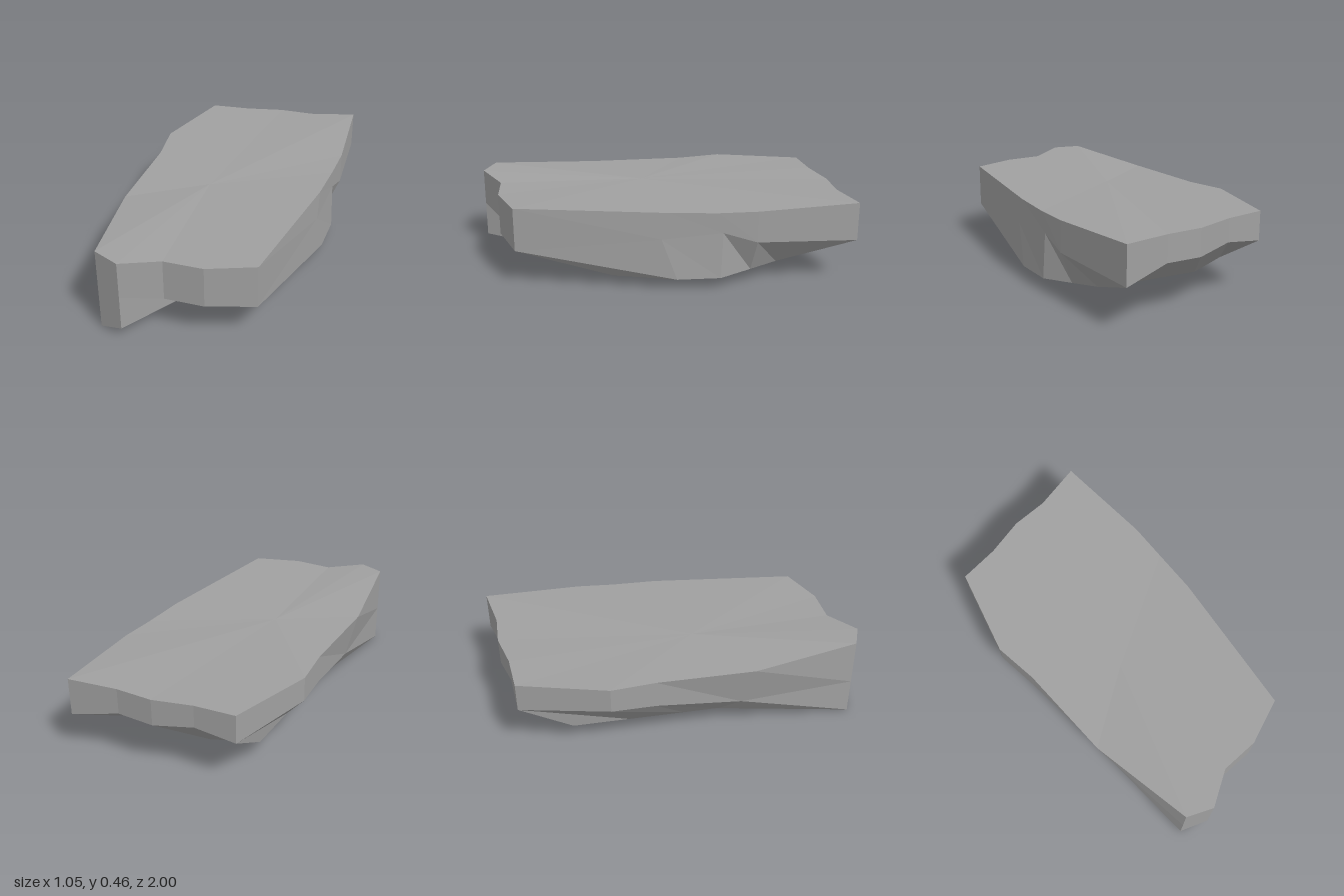
import * as THREE from 'three';

// Each ring runs round the slab from the front right corner, counterclockwise seen from above.
const topRing = [
  [-0.40, 0.455, 0.94], [-0.26, 0.45, 1.0], [-0.07, 0.432, 0.89], [0.14, 0.432, 0.89],
  [0.385, 0.435, 0.80], [0.50, 0.425, 0.0], [0.515, 0.42, -0.25], [0.525, 0.425, -0.46],
  [0.49, 0.442, -1.0], [0.23, 0.433, -0.95], [0.03, 0.432, -0.95], [-0.18, 0.435, -0.90],
  [-0.40, 0.435, -0.88], [-0.53, 0.432, -0.41], [-0.50, 0.425, -0.17], [-0.495, 0.42, 0.36],
];
const rimRing = [
  [-0.40, 0.20, 0.94], [-0.26, 0.25, 1.0], [-0.07, 0.21, 0.89], [0.14, 0.21, 0.89],
  [0.385, 0.20, 0.80], [0.50, 0.28, 0.04], [0.515, 0.31, -0.28], [0.525, 0.255, -0.46],
  [0.49, 0.235, -1.0], [0.23, 0.29, -0.95], [0.03, 0.285, -0.95], [-0.18, 0.31, -0.90],
  [-0.40, 0.278, -0.88], [-0.53, 0.297, -0.41], [-0.50, 0.275, -0.17], [-0.455, 0.20, 0.30],
];
const baseRing = [
  [-0.40, 0.0, 0.94], [-0.26, 0.06, 1.0], [-0.03, 0.042, 0.58], [0.105, 0.018, 0.53],
  [0.42, 0.055, 0.29], [0.52, 0.06, -0.04], [0.525, 0.062, -0.27], [0.45, 0.075, -0.44],
  [0.39, 0.09, -0.59], [0.21, 0.085, -0.62], [0.055, 0.10, -0.67], [-0.14, 0.10, -0.69],
  [-0.38, 0.11, -0.60], [-0.38, 0.11, -0.30], [-0.38, 0.11, 0.0], [-0.38, 0.11, 0.19],
];

// Turns a list of triangle corners into a faceted mesh
function facets(name, corners, material) {
  const geometry = new THREE.BufferGeometry();
  geometry.setAttribute('position', new THREE.Float32BufferAttribute(corners.flat(), 3));
  geometry.computeVertexNormals();
  const mesh = new THREE.Mesh(geometry, material);
  mesh.name = name;
  return mesh;
}

// Wall between an upper and a lower ring
function wall(upper, lower) {
  return upper.flatMap((a, i) => {
    const j = (i + 1) % upper.length;
    return [a, lower[i], lower[j], a, lower[j], upper[j]];
  });
}

// Fan of triangles closing a ring
function cap(ring, centre, faceUp) {
  return ring.flatMap((a, i) => {
    const b = ring[(i + 1) % ring.length];
    return faceUp ? [centre, a, b] : [centre, b, a];
  });
}

export function createModel() {
  const stone = new THREE.MeshStandardMaterial({ color: 0xa0a0a0 });
  stone.name = 'grey stone';

  const slab = new THREE.Group();
  slab.name = 'rockSlab';
  slab.add(
    facets('topFace', cap(topRing, [-0.1, 0.425, 0.1], true), stone),
    facets('upperSides', wall(topRing, rimRing), stone),
    facets('lowerSides', wall(rimRing, baseRing), stone),
    facets('underside', cap(baseRing, [-0.15, 0.05, 0.22], false), stone),
  );
  return slab;
}
